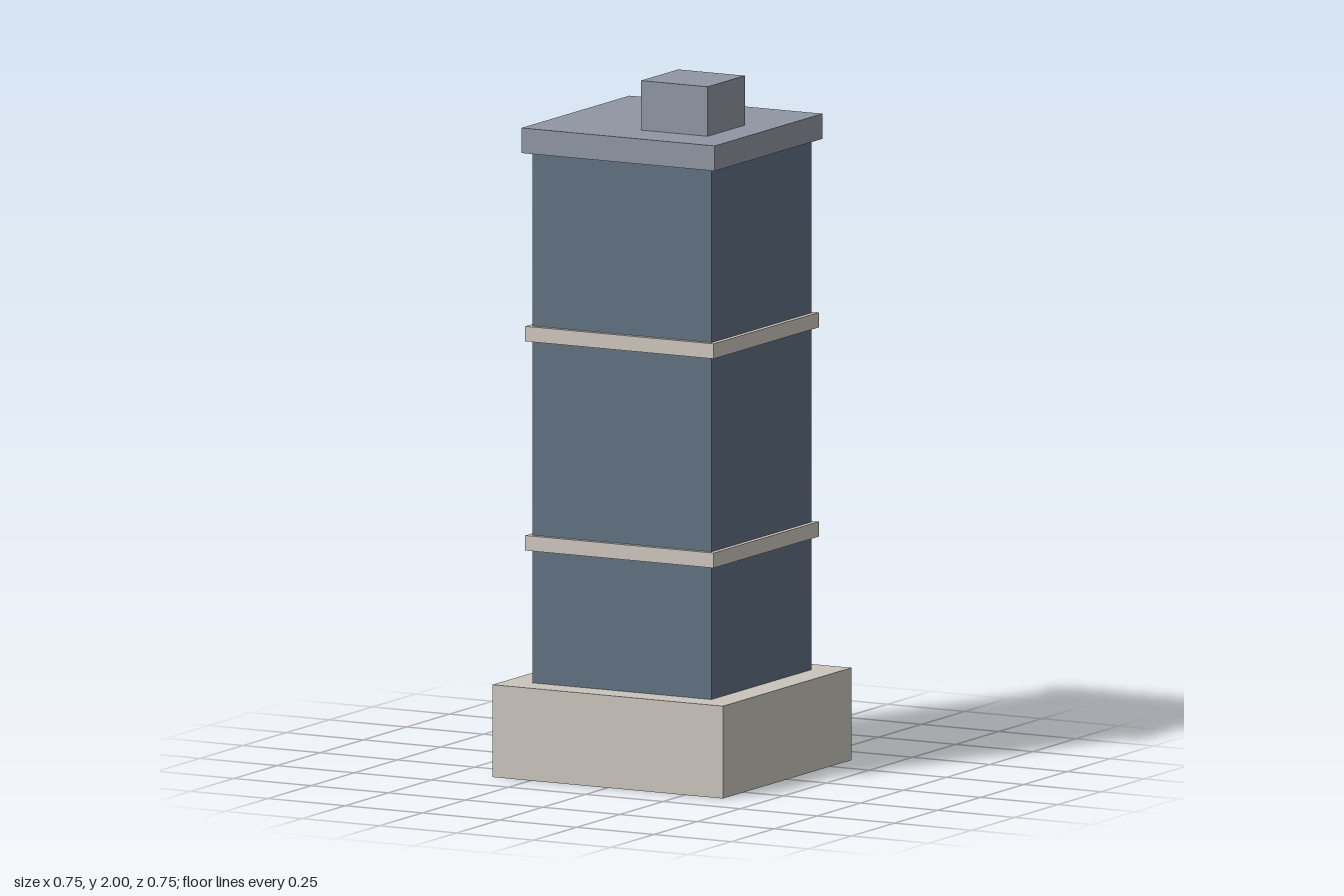
import * as THREE from 'three';

const material = (name, color) => {
  const m = new THREE.MeshStandardMaterial({ color });
  m.name = name;
  return m;
};

export function createModel() {
  const model = new THREE.Group();
  model.name = 'towerBlock';

  const stone = material('pale stone', 0xc9c5bc);
  const trim = material('light trim', 0xcdc6be);
  const glass = material('blue grey glass', 0x617182);
  const roofGrey = material('roof grey', 0x9097a2);

  // Square block of the given width between two heights
  const block = (name, width, bottom, top, mat, x = 0, z = 0) => {
    const mesh = new THREE.Mesh(new THREE.BoxGeometry(width, top - bottom, width), mat);
    mesh.name = name;
    mesh.position.set(x, (bottom + top) / 2, z);
    model.add(mesh);
  };

  // Podium and shaft
  block('podium', 0.746, 0, 0.265, stone);
  block('shaft', 0.58, 0.265, 1.786, glass);

  // Ledges around the shaft
  [0.667, 1.267].forEach((y, i) => block(`ledge${i + 1}`, 0.61, y - 0.0215, y + 0.0215, trim));

  // Roof slab and off-centre plant room
  block('roofSlab', 0.626, 1.786, 1.858, roofGrey);
  block('plantRoom', 0.216, 1.858, 2, roofGrey, 0.108, 0.072);

  return model;
}
